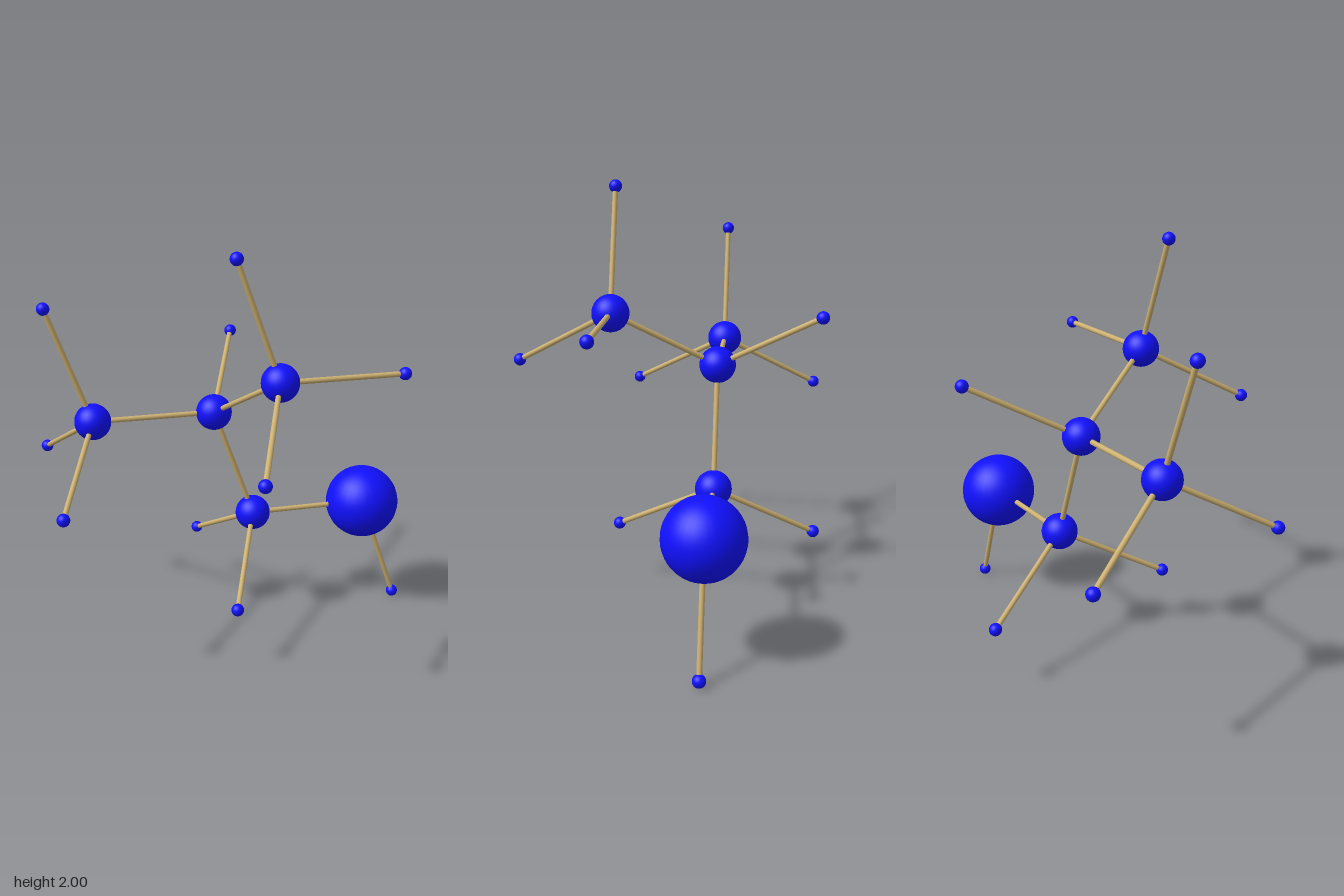
import * as THREE from 'three';

const BOND = 0.588;

// Tetrahedral bond directions; neighbouring atoms use the mirrored set.
const DIRS = [
  [-1, 0, 0],
  [1 / 3, -0.943, 0],
  [1 / 3, 0.4714, 0.8165],
  [1 / 3, 0.4714, -0.8165],
].map((d) => new THREE.Vector3(...d));

export function createModel() {
  const model = new THREE.Group();
  model.name = 'molecule';
  const blue = new THREE.MeshStandardMaterial({ color: 0x1010ff });
  const tan = new THREE.MeshStandardMaterial({ color: 0xccb070 });

  const ball = (radius) => new THREE.SphereGeometry(radius, 32, 24);
  const sizes = {
    hydrogen: ball(0.03),
    carbon: ball(0.087),
    oxygen: ball(0.186),
  };
  const rod = new THREE.CylinderGeometry(0.0125, 0.0125, BOND, 16);

  function addAtom(kind, position) {
    const mesh = new THREE.Mesh(sizes[kind], blue);
    mesh.name = kind + 'Atom';
    mesh.position.copy(position);
    model.add(mesh);
    return position;
  }

  // Rod from one atom along a direction, with a new atom at its end
  function grow(kind, from, index, sign) {
    const dir = DIRS[index].clone().multiplyScalar(sign).normalize();
    const mesh = new THREE.Mesh(rod, tan);
    mesh.name = 'bond';
    mesh.position.copy(from).addScaledVector(dir, BOND / 2);
    mesh.quaternion.setFromUnitVectors(new THREE.Vector3(0, 1, 0), dir);
    model.add(mesh);
    return addAtom(kind, from.clone().addScaledVector(dir, BOND));
  }

  // Central carbon with three carbon branches and one hydrogen
  const centre = addAtom('carbon', new THREE.Vector3(-0.098, 1.139, -0.24));
  const side = grow('carbon', centre, 0, 1);
  const lower = grow('carbon', centre, 1, 1);
  const front = grow('carbon', centre, 2, 1);
  grow('hydrogen', centre, 3, 1);

  // Hydrogens on the outer carbons
  for (const i of [1, 2, 3]) grow('hydrogen', side, i, -1);
  for (const i of [0, 1, 3]) grow('hydrogen', front, i, -1);
  for (const i of [2, 3]) grow('hydrogen', lower, i, -1);

  // Large end atom with its hydrogen
  const end = grow('oxygen', lower, 0, -1);
  grow('hydrogen', end, 1, 1);

  return model;
}
